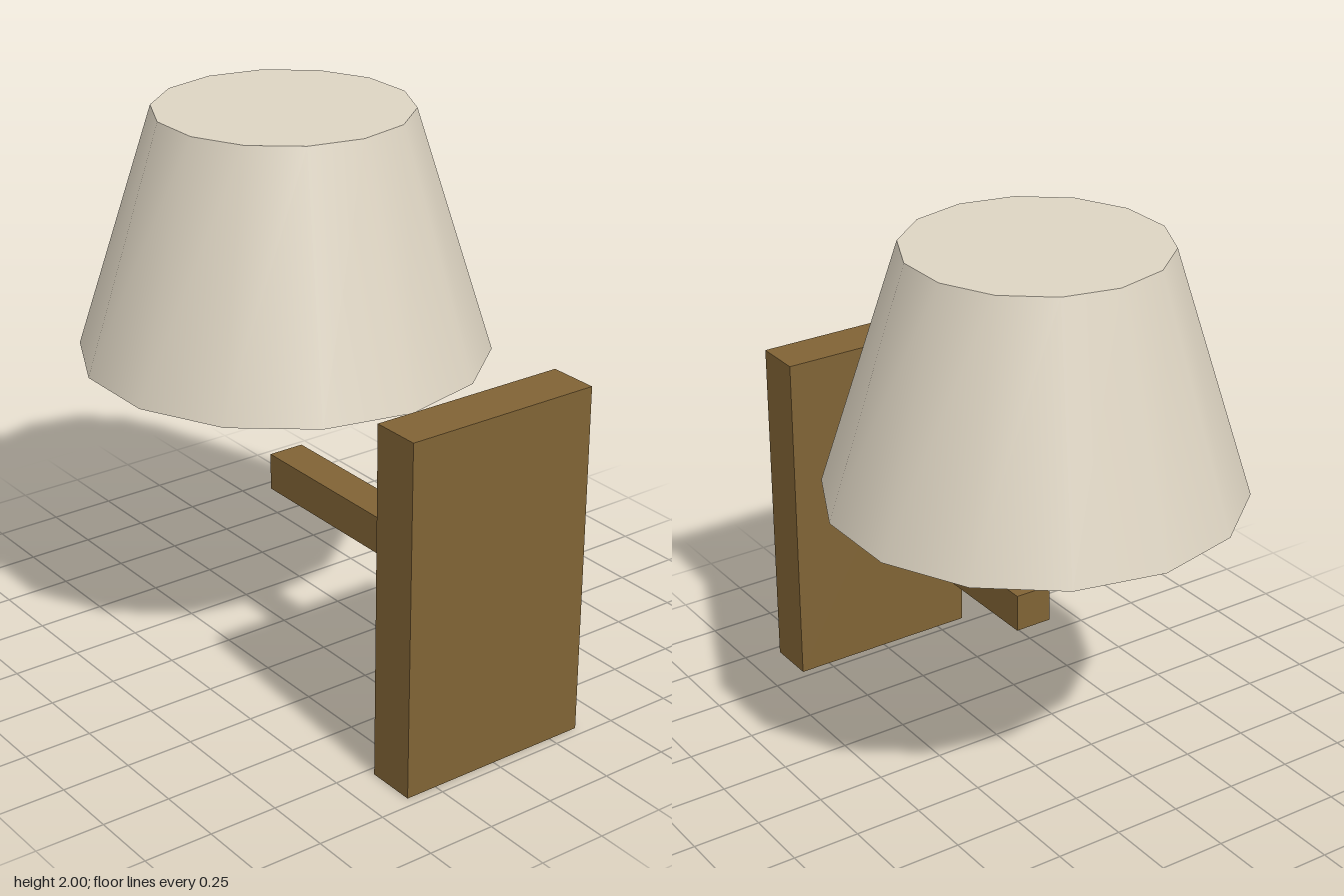
import * as THREE from 'three';

export function createModel() {
  const model = new THREE.Group();
  model.name = 'wallLamp';

  const wood = new THREE.MeshStandardMaterial({ color: 0x806335 });
  wood.name = 'brown wood';
  const fabric = new THREE.MeshStandardMaterial({ color: 0xddd4c2 });
  fabric.name = 'cream fabric';

  const add = (name, geometry, material, x, y, z) => {
    const mesh = new THREE.Mesh(geometry, material);
    mesh.name = name;
    mesh.position.set(x, y, z);
    model.add(mesh);
  };

  // Upright plate that fixes to the wall
  add('wallPlate', new THREE.BoxGeometry(0.735, 1.285, 0.18), wood, 0, 0.6425, 0.873);

  // Square arm reaching to the shade's axis
  add('arm', new THREE.BoxGeometry(0.137, 0.137, 1.013), wood, 0, 0.645, 0.2765);

  // Closed fourteen-sided tapered shade, smooth around its side
  add('shade', new THREE.CylinderGeometry(0.455, 0.731, 0.88, 14), fabric, 0, 1.56, -0.231);

  return model;
}
